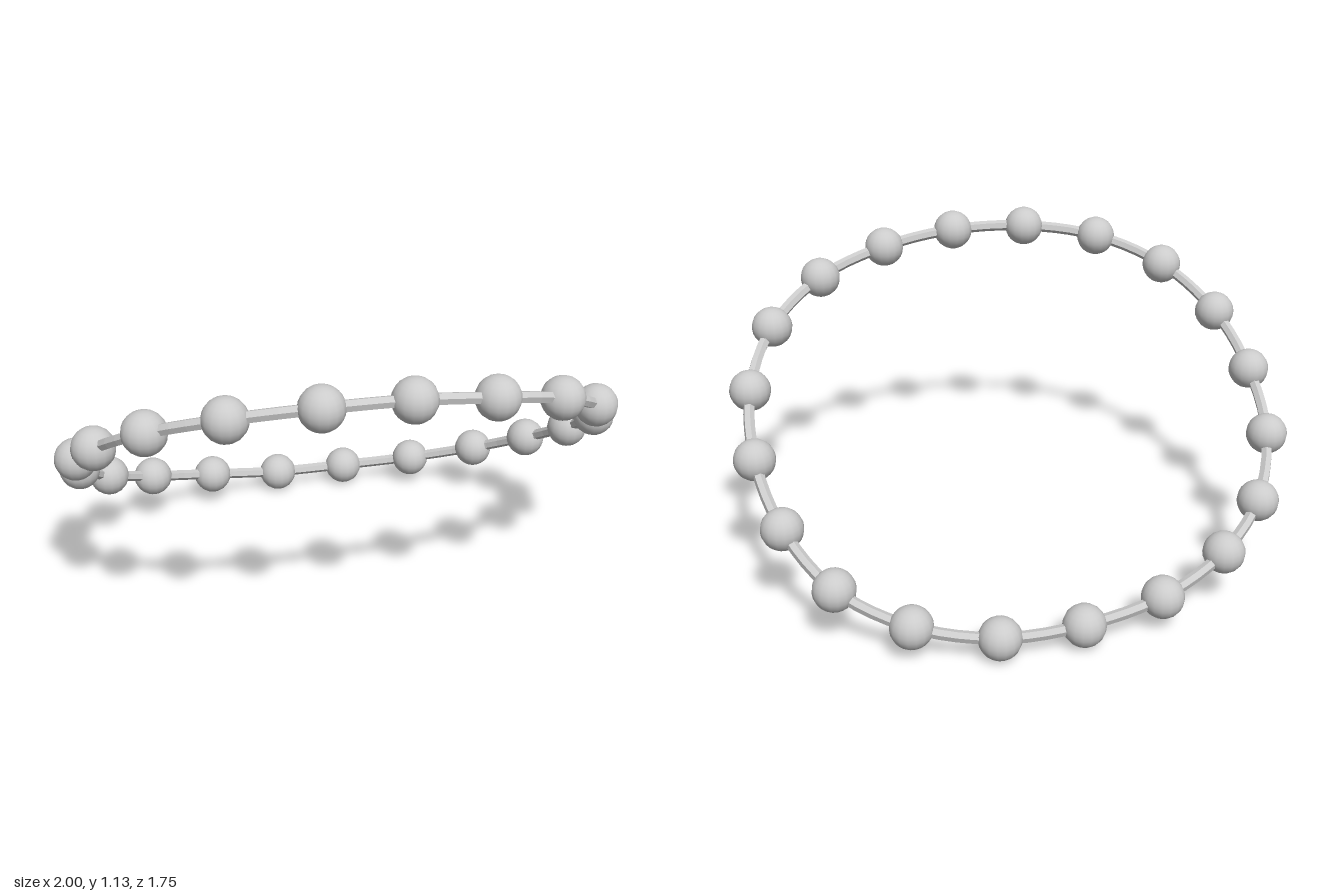
import * as THREE from 'three';

// Bead centres in order around the tilted loop
const centres = [
  [-0.93, 0.79, -0.14], [-0.885, 0.93, 0.12], [-0.74, 1.02, 0.36], [-0.515, 1.06, 0.55],
  [-0.255, 1.06, 0.685], [0.02, 1.02, 0.775], [0.305, 0.945, 0.8], [0.565, 0.82, 0.735],
  [0.76, 0.665, 0.575], [0.875, 0.5, 0.36], [0.92, 0.345, 0.11], [0.88, 0.21, -0.147],
  [0.73, 0.12, -0.38], [0.505, 0.08, -0.57], [0.24, 0.085, -0.695], [-0.04, 0.13, -0.785],
  [-0.323, 0.21, -0.8], [-0.555, 0.315, -0.743], [-0.755, 0.47, -0.595], [-0.875, 0.635, -0.383],
].map((p) => new THREE.Vector3(...p));

const BEAD_RADIUS = 0.076;
const CORD_RADIUS = 0.021;

export function createModel() {
  const group = new THREE.Group();
  group.name = 'beadedRing';

  // Faceted cord threaded through every bead
  const path = new THREE.CatmullRomCurve3(centres, true);
  const cord = new THREE.Mesh(
    new THREE.TubeGeometry(path, centres.length * 5, CORD_RADIUS, 6, true),
    new THREE.MeshStandardMaterial({ color: 0xcccccc, flatShading: true }),
  );
  cord.name = 'cord';
  group.add(cord);

  // Round beads
  const beadGeometry = new THREE.SphereGeometry(BEAD_RADIUS, 16, 12);
  const beadMaterial = new THREE.MeshStandardMaterial({ color: 0xcccccc });
  const beads = new THREE.Group();
  beads.name = 'beads';
  centres.forEach((centre, i) => {
    const bead = new THREE.Mesh(beadGeometry, beadMaterial);
    bead.name = `bead${i + 1}`;
    bead.position.copy(centre);
    beads.add(bead);
  });
  group.add(beads);

  return group;
}
